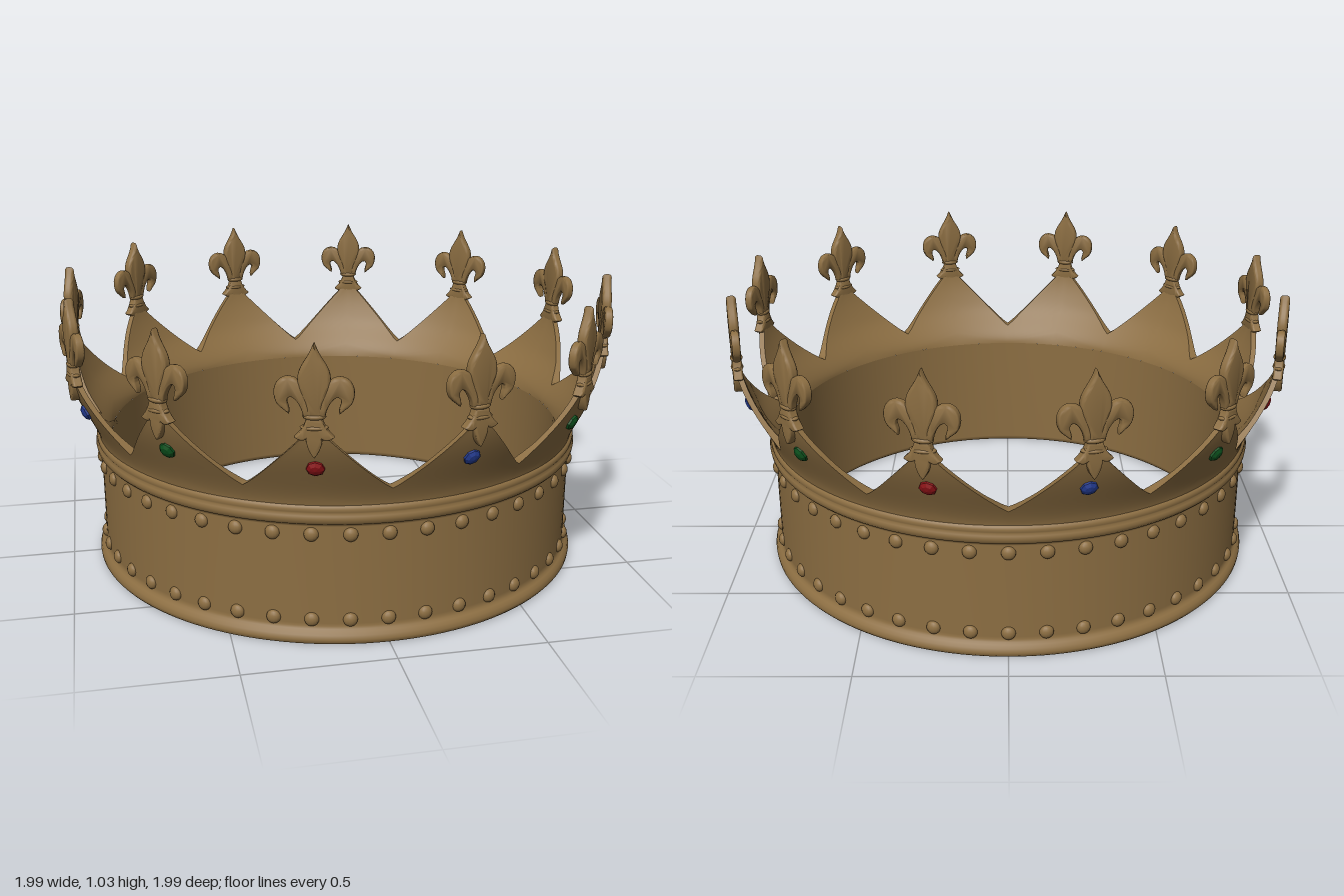
import * as THREE from 'three';
import { toCreasedNormals } from 'three/addons/utils/BufferGeometryUtils.js';

const POINTS = 12, STEP = (Math.PI * 2) / POINTS;
const BEADS = 44;
const WALL_TOP = 0.47;

const flat = (name, color) => {
  const m = new THREE.MeshStandardMaterial({ color });
  m.name = name;
  return m;
};

// Flaring radius of the outer and inner faces of the points at a height
const outerRadius = (y) => {
  const s = Math.pow(THREE.MathUtils.clamp((y - WALL_TOP) / 0.33, 0, 1), 0.8);
  return 0.88 + 0.115 * s * s * (3 - 2 * s);
};
const innerRadius = (y) => outerRadius(y) - THREE.MathUtils.lerp(0.05, 0.02, THREE.MathUtils.smoothstep(y, WALL_TOP, 0.62));

// Zigzag top edge: valleys at multiples of STEP, peaks half way between
const edgeHeight = (a) => {
  const f = a / STEP - Math.floor(a / STEP);
  const u = Math.abs(f - 0.5) * 2;
  return 0.54 + 0.24 * Math.pow(1 - u, 1.16);
};

// Closed ring of faces from a rule giving [radius, height] at an angle and row
function ringSurface(rows, rule) {
  const n = POINTS * 24, pos = [], idx = [];
  for (let j = 0; j <= rows; j++) {
    for (let i = 0; i < n; i++) {
      const a = (i / n) * Math.PI * 2;
      const [r, y] = rule(a, j / rows);
      pos.push(r * Math.sin(a), y, r * Math.cos(a));
    }
  }
  for (let j = 0; j < rows; j++) {
    for (let i = 0; i < n; i++) {
      const k = (i + 1) % n;
      const a = j * n + i, b = j * n + k, c = b + n, d = a + n;
      idx.push(a, b, c, a, c, d);
    }
  }
  const g = new THREE.BufferGeometry();
  g.setAttribute('position', new THREE.Float32BufferAttribute(pos, 3));
  g.setIndex(idx);
  g.computeVertexNormals();
  return g;
}

// Thin bevelled plate centred on z = 0
function plate(shape, depth, bevel) {
  const g = new THREE.ExtrudeGeometry(shape, {
    depth, curveSegments: 7, bevelEnabled: true, bevelSegments: 3,
    bevelThickness: bevel, bevelSize: bevel * 0.8, bevelOffset: -bevel * 0.5,
  });
  g.translate(0, 0, -depth / 2);
  return toCreasedNormals(g, 0.9);
}

export function createModel() {
  const crown = new THREE.Group();
  crown.name = 'crown';
  const gold = flat('gold', 0x8c6e42);
  const gemColours = [flat('blue gem', 0x22398c), flat('green gem', 0x0b4f1c), flat('red gem', 0x8a1216)];

  const add = (parent, name, geometry, material = gold) => {
    const mesh = new THREE.Mesh(geometry, material);
    mesh.name = name;
    parent.add(mesh);
    return mesh;
  };

  // Band with rolled rims at the bottom and top
  const profile = [
    [0.83, WALL_TOP], [0.83, 0.44], [0.83, 0.02], [0.834, 0.006], [0.842, 0], [0.848, 0],
    [0.888, 0], [0.893, 0.001], [0.899, 0.008], [0.9, 0.018], [0.896, 0.032], [0.886, 0.041],
    [0.879, 0.047], [0.876, 0.056], [0.875, 0.065], [0.875, 0.405], [0.876, 0.412],
    [0.884, 0.416], [0.891, 0.424], [0.893, 0.436], [0.891, 0.446], [0.886, 0.453],
    [0.889, 0.459], [0.889, 0.468], [0.886, 0.476], [0.879, 0.481],
  ].map(([r, y]) => new THREE.Vector2(r, y));
  add(crown, 'band', new THREE.LatheGeometry(profile, 144));

  // Flared points: outer face, inner face and top edge
  const points = new THREE.Group();
  points.name = 'points';
  crown.add(points);
  const mix = THREE.MathUtils.lerp;
  add(points, 'pointsOuterFace', ringSurface(12, (a, v) => {
    const y = mix(WALL_TOP, edgeHeight(a), v);
    return [outerRadius(y), y];
  }));
  add(points, 'pointsInnerFace', ringSurface(12, (a, v) => {
    const y = mix(edgeHeight(a), WALL_TOP, v);
    return [innerRadius(y), y];
  }));
  add(points, 'pointsTopEdge', ringSurface(1, (a, v) => {
    const y = edgeHeight(a);
    return [v ? innerRadius(y) : outerRadius(y), y];
  }));

  // Two rows of rivet beads
  const beadGeometry = new THREE.SphereGeometry(0.024, 14, 10);
  for (const y of [0.08, 0.378]) {
    for (let i = 0; i < BEADS; i++) {
      const a = (i / BEADS) * Math.PI * 2;
      const bead = add(crown, 'bead', beadGeometry);
      bead.position.set(0.875 * Math.sin(a), y, 0.875 * Math.cos(a));
      bead.rotation.y = a;
      bead.scale.z = 0.7;
    }
  }

  // Upright centre petal
  const centre = new THREE.Shape();
  centre.moveTo(-0.016, 0.81);
  centre.bezierCurveTo(-0.018, 0.87, -0.053, 0.89, -0.044, 0.935);
  centre.bezierCurveTo(-0.038, 0.968, -0.012, 0.985, 0, 1.028);
  centre.bezierCurveTo(0.012, 0.985, 0.038, 0.968, 0.044, 0.935);
  centre.bezierCurveTo(0.053, 0.89, 0.018, 0.87, 0.016, 0.81);

  // Curled side petal
  const side = new THREE.Shape();
  side.moveTo(0.006, 0.81);
  side.bezierCurveTo(0.014, 0.87, 0.035, 0.93, 0.078, 0.928);
  side.bezierCurveTo(0.108, 0.926, 0.122, 0.895, 0.114, 0.865);
  side.bezierCurveTo(0.108, 0.84, 0.092, 0.838, 0.076, 0.82);
  side.bezierCurveTo(0.074, 0.842, 0.088, 0.85, 0.08, 0.866);
  side.bezierCurveTo(0.066, 0.885, 0.036, 0.85, 0.03, 0.81);

  // Three-lobed foot below the collar
  const foot = new THREE.Shape();
  foot.moveTo(-0.022, 0.8);
  foot.quadraticCurveTo(-0.03, 0.768, -0.056, 0.745);
  foot.quadraticCurveTo(-0.036, 0.73, -0.022, 0.744);
  foot.quadraticCurveTo(-0.022, 0.71, 0, 0.682);
  foot.quadraticCurveTo(0.022, 0.71, 0.022, 0.744);
  foot.quadraticCurveTo(0.036, 0.73, 0.056, 0.745);
  foot.quadraticCurveTo(0.03, 0.768, 0.022, 0.8);

  const centreGeometry = plate(centre, 0.01, 0.012);
  const sideGeometry = plate(side, 0.008, 0.01);
  const footGeometry = plate(foot, 0.018, 0.008);
  const collarGeometry = new THREE.SphereGeometry(1, 14, 8);
  const gemGeometry = new THREE.SphereGeometry(0.03, 8, 5).toNonIndexed();
  gemGeometry.rotateX(Math.PI / 2);
  gemGeometry.scale(1, 1, 0.55);
  gemGeometry.computeVertexNormals();

  // One finial and one gem on each point
  for (let i = 0; i < POINTS; i++) {
    const spoke = new THREE.Group();
    spoke.name = 'pointOrnament';
    spoke.rotation.y = (i + 0.5) * STEP;
    crown.add(spoke);

    const finial = new THREE.Group();
    finial.name = 'finial';
    finial.position.z = 0.985;
    spoke.add(finial);
    add(finial, 'centrePetal', centreGeometry);
    add(finial, 'leftPetal', sideGeometry);
    add(finial, 'rightPetal', sideGeometry).rotation.y = Math.PI;
    add(finial, 'foot', footGeometry);
    for (const [y, w, h] of [[0.808, 0.036, 0.012], [0.774, 0.044, 0.01]]) {
      const collar = add(finial, 'collar', collarGeometry);
      collar.position.y = y;
      collar.scale.set(w, h, 0.022);
    }

    const gem = add(spoke, 'gem', gemGeometry, gemColours[i % 3]);
    gem.position.set(0, 0.63, outerRadius(0.63) + 0.002);
    gem.rotation.x = 0.42;
  }
  return crown;
}
